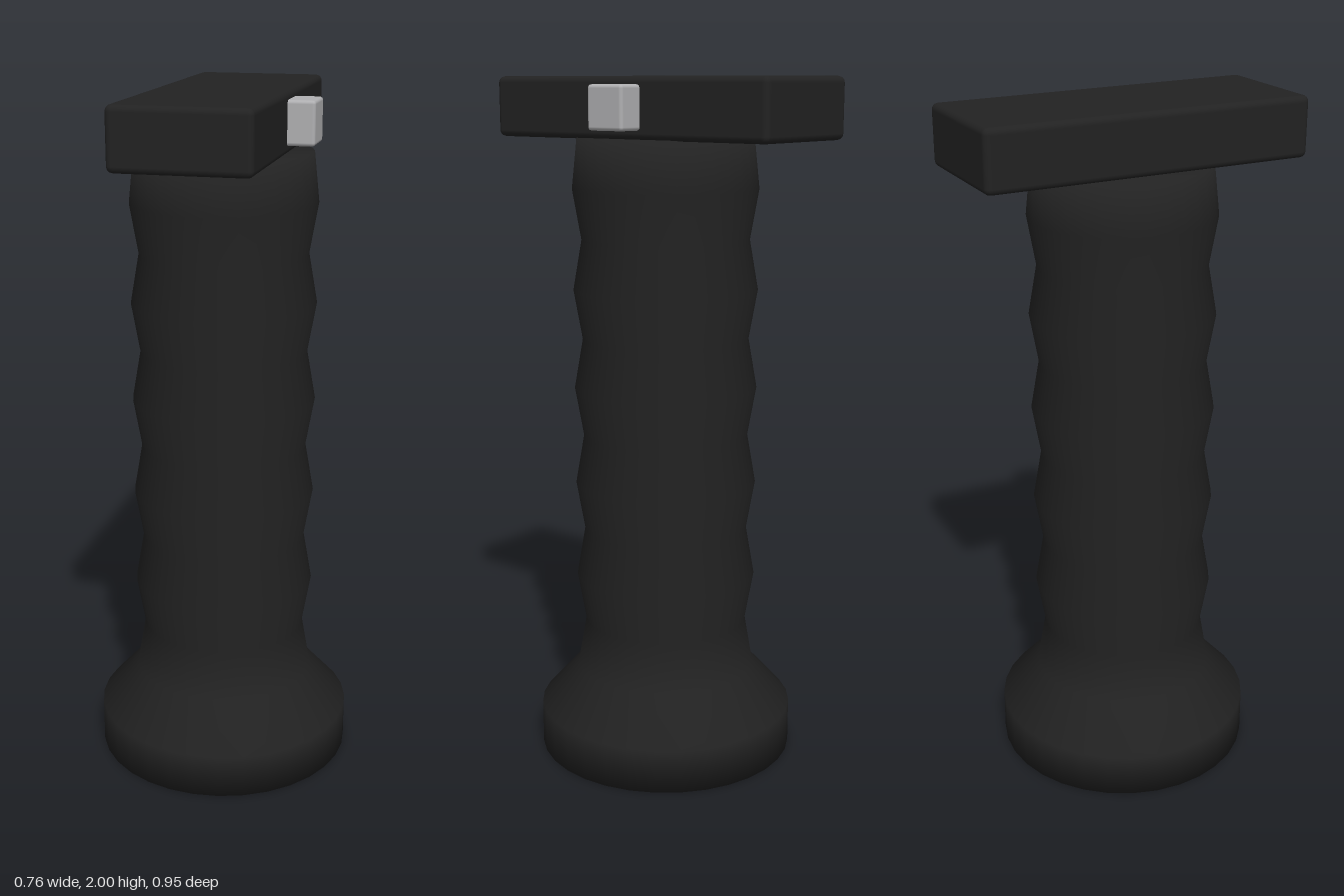
import * as THREE from 'three';
import { RoundedBoxGeometry } from 'three/addons/geometries/RoundedBoxGeometry.js';

export function createModel() {
  const group = new THREE.Group();
  const black = new THREE.MeshStandardMaterial({ color: 0x222222 });
  black.name = 'matte black';
  const grey = new THREE.MeshStandardMaterial({ color: 0xb0b0b2 });
  grey.name = 'light grey';

  const add = (name, geometry, material, x, y, z) => {
    const mesh = new THREE.Mesh(geometry, material);
    mesh.name = name;
    mesh.position.set(x, y, z);
    group.add(mesh);
  };

  // Turned handle: flared foot, then a wavy grip of alternating radii
  const profile = [[0, 0], [0.38, 0], [0.38, 0.13], [0.267, 0.255]];
  for (let i = 1; i <= 10; i++) {
    profile.push([i % 2 ? 0.242 : 0.267, 0.255 + i * 0.1435]);
  }
  profile.push([0.252, 1.832], [0, 1.832]);
  const points = profile.map(([r, y]) => new THREE.Vector2(r, y));
  add('gripHandle', new THREE.LatheGeometry(points, 32), black, 0, 0, 0);

  // Mounting block across the top
  add('mountBlock', new RoundedBoxGeometry(0.38, 0.17, 0.95, 2, 0.018), black, 0, 1.915, 0);

  // Release button on the left side of the block
  add('releaseButton', new RoundedBoxGeometry(0.126, 0.122, 0.122, 2, 0.01), grey, 0.203, 1.917, 0);

  return group;
}
